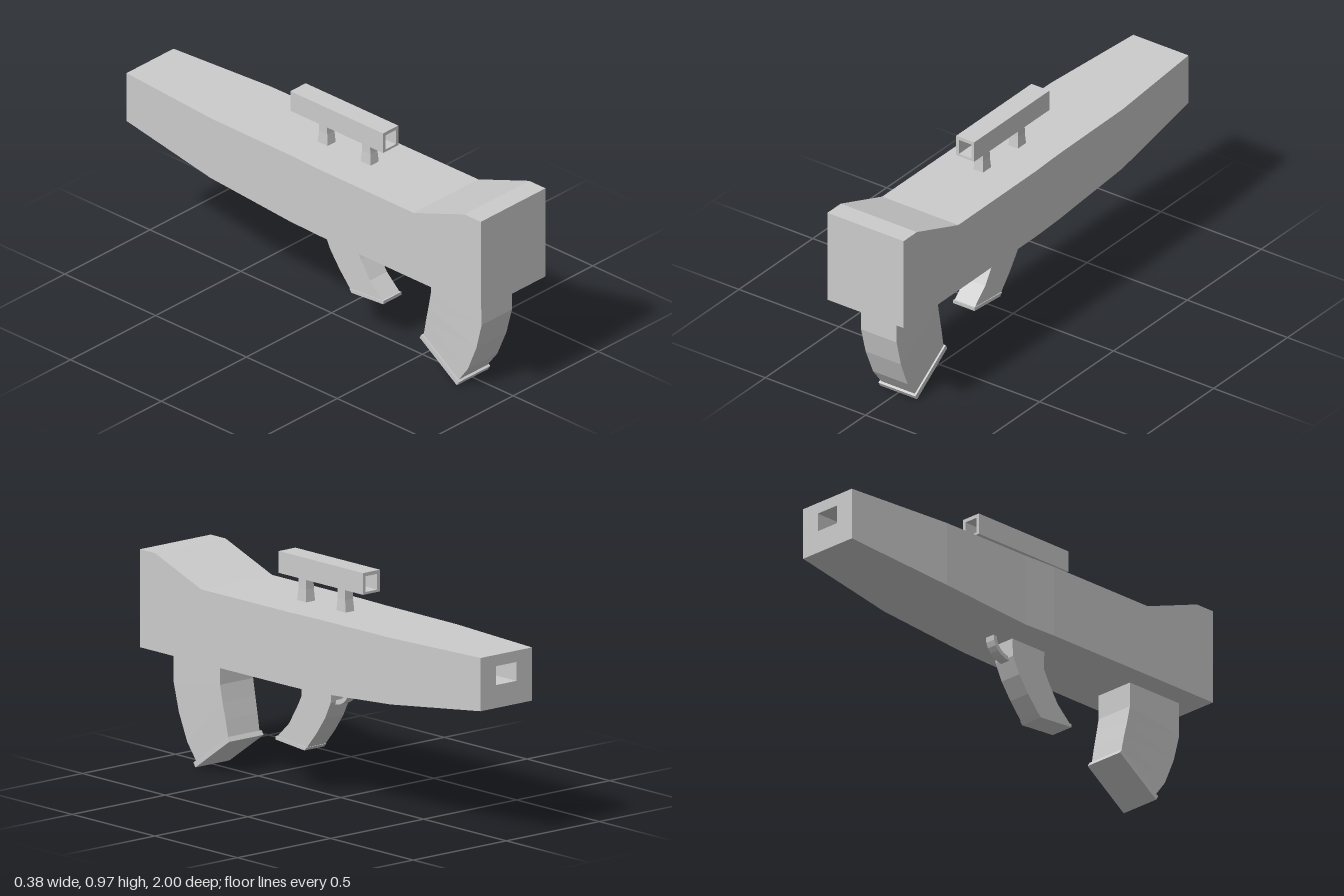
import * as THREE from 'three';

const material = new THREE.MeshStandardMaterial({ color: 0xcccccc, flatShading: true });

// Skins a row of rectangular sections. Each section is [az, ay, bz, by, halfWidth]:
// two points of the side profile, spread left and right by halfWidth.
function loft(name, sections, capped = true) {
  const rings = sections.map(([az, ay, bz, by, w]) => [
    [-w, ay, az], [w, ay, az], [w, by, bz], [-w, by, bz],
  ]);
  const positions = [];
  const quad = (a, b, c, d) => positions.push(...a, ...b, ...c, ...a, ...c, ...d);
  for (let i = 0; i < rings.length - 1; i++) {
    for (let j = 0; j < 4; j++) {
      const k = (j + 1) % 4;
      quad(rings[i][j], rings[i][k], rings[i + 1][k], rings[i + 1][j]);
    }
  }
  if (capped) {
    const [p, q, r, s] = rings[0];
    quad(s, r, q, p);
    quad(...rings[rings.length - 1]);
  }
  const geometry = new THREE.BufferGeometry();
  geometry.setAttribute('position', new THREE.Float32BufferAttribute(positions, 3));
  geometry.computeVertexNormals();
  const mesh = new THREE.Mesh(geometry, material);
  mesh.name = name;
  return mesh;
}

// A section standing upright at one z
const upright = (z, top, bottom, w) => [z, top, z, bottom, w];

export function createModel() {
  const group = new THREE.Group();
  group.name = 'blaster';

  // Body with raised stock, tapering barrel and a square bore folded back inside
  group.add(loft('body', [
    upright(1, 0.88, 0.475, 0.19),
    upright(0.91, 0.88, 0.475, 0.19),
    upright(0.63, 0.78, 0.475, 0.19),
    upright(0.1, 0.78, 0.475, 0.188),
    upright(-0.06, 0.78, 0.475, 0.182),
    upright(-0.5, 0.78, 0.505, 0.178),
    upright(-1, 0.78, 0.56, 0.138),
    upright(-1, 0.733, 0.655, 0.055),
    upright(-0.5, 0.733, 0.655, 0.055),
  ]));

  // Hollow sight tube: outer skin, then inner skin back to the start
  group.add(loft('sightTube', [
    upright(0.325, 0.97, 0.88, 0.045),
    upright(-0.185, 0.97, 0.88, 0.045),
    upright(-0.185, 0.955, 0.89, 0.031),
    upright(0.325, 0.955, 0.89, 0.031),
    upright(0.325, 0.97, 0.88, 0.045),
  ], false));

  // Sight posts, slightly flared at the foot
  for (const [name, z] of [['rearSightPost', 0.21], ['frontSightPost', -0.027]]) {
    group.add(loft(name, [
      [z - 0.022, 0.885, z + 0.022, 0.885, 0.021],
      [z - 0.023, 0.83, z + 0.023, 0.83, 0.021],
      [z - 0.028, 0.775, z + 0.028, 0.775, 0.024],
    ]));
  }

  // Curved magazine and its base plate
  group.add(loft('magazine', [
    [0.63, 0.48, 0.91, 0.48, 0.089],
    [0.63, 0.37, 0.91, 0.33, 0.089],
    [0.616, 0.3, 0.88, 0.213, 0.088],
    [0.6, 0.23, 0.832, 0.098, 0.086],
    [0.586, 0.16, 0.78, 0.028, 0.084],
  ]));
  group.add(loft('magazinePlate', [
    [0.582, 0.163, 0.788, 0.022, 0.092],
    [0.571, 0.145, 0.776, 0.003, 0.092],
  ]));

  // Swept grip and its base plate
  group.add(loft('grip', [
    [0, 0.48, 0.183, 0.48, 0.05],
    [0.005, 0.4, 0.18, 0.4, 0.05],
    [0.04, 0.33, 0.21, 0.345, 0.05],
    [0.09, 0.26, 0.258, 0.27, 0.05],
    [0.148, 0.192, 0.328, 0.205, 0.05],
  ]));
  group.add(loft('gripPlate', [
    [0.147, 0.191, 0.335, 0.206, 0.053],
    [0.16, 0.177, 0.334, 0.191, 0.053],
  ]));

  // Trigger guard: a quarter ring from the grip up to the body
  const guard = [];
  for (let i = 0; i <= 6; i++) {
    const t = (i / 6) * Math.PI / 2;
    const point = (r) => [0.01 - r * Math.sin(t), 0.477 - r * Math.cos(t)];
    guard.push([...point(0.07), ...point(0.088), 0.022]);
  }
  group.add(loft('triggerGuard', guard));

  return group;
}
